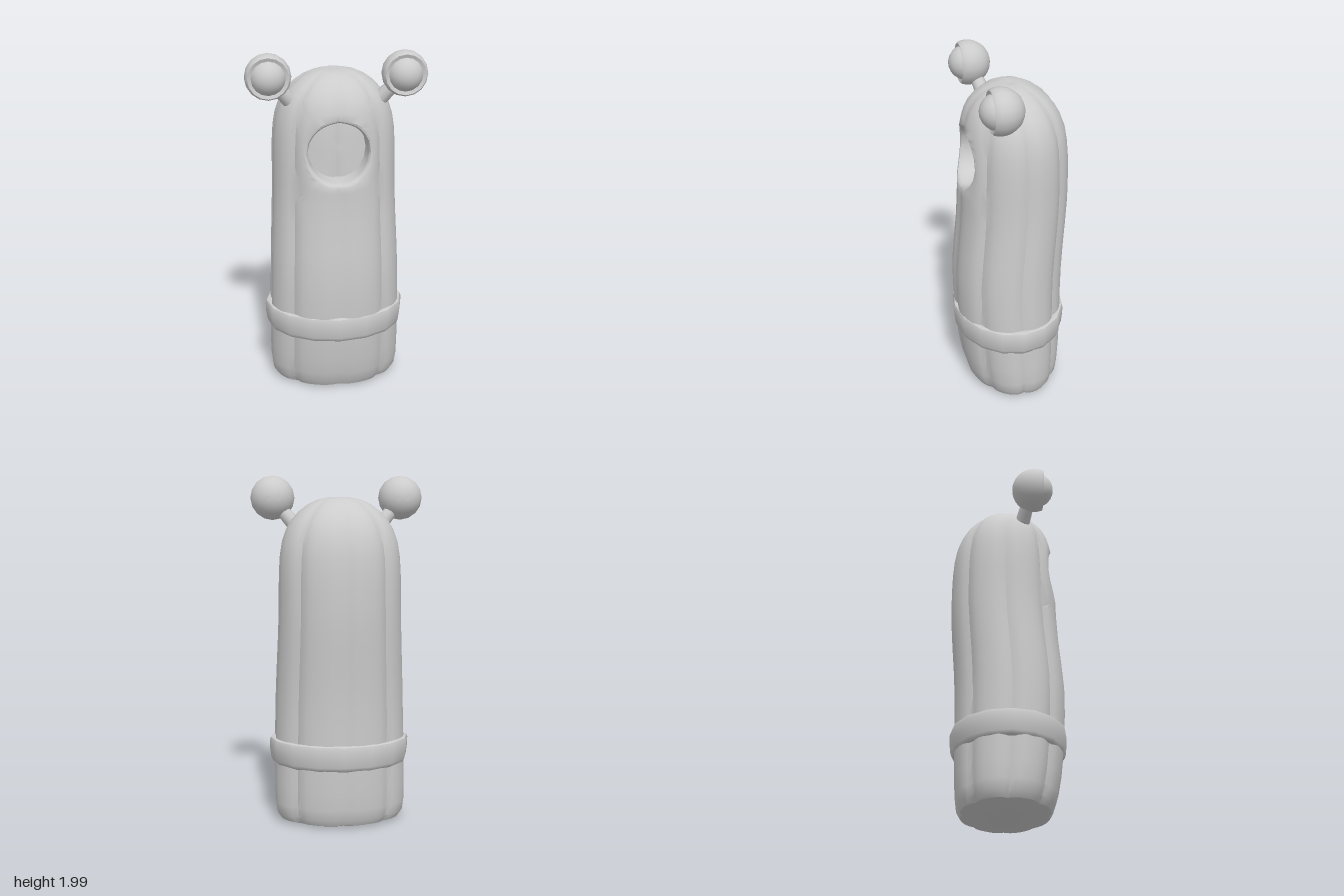
import * as THREE from 'three';
import { toCreasedNormals } from 'three/addons/utils/BufferGeometryUtils.js';

const material = new THREE.MeshStandardMaterial({ color: 0xcccccc });

// Body profile: height, half width, front z, back z
const ROWS = [
  [0.01, 0.3, 0.2, -0.22], [0.025, 0.345, 0.235, -0.26], [0.06, 0.368, 0.255, -0.28],
  [0.12, 0.377, 0.272, -0.288], [0.22, 0.378, 0.29, -0.295], [0.4, 0.378, 0.31, -0.3],
  [0.6, 0.372, 0.318, -0.3], [0.75, 0.368, 0.318, -0.303], [0.9, 0.362, 0.305, -0.311],
  [1.05, 0.355, 0.29, -0.322], [1.18, 0.35, 0.282, -0.33], [1.28, 0.348, 0.279, -0.332],
  [1.37, 0.347, 0.276, -0.331], [1.46, 0.345, 0.272, -0.328], [1.55, 0.339, 0.267, -0.32],
  [1.63, 0.326, 0.257, -0.306], [1.7, 0.302, 0.242, -0.28], [1.75, 0.273, 0.22, -0.252],
  [1.8, 0.228, 0.184, -0.21], [1.84, 0.175, 0.135, -0.158], [1.865, 0.12, 0.085, -0.112],
  [1.878, 0.06, 0.036, -0.066], [1.875, 0.015, 0.0, -0.026],
];
const SEGMENTS = 64;
const HOLE = { y: 1.46, firstRow: 10, lastRow: 17, halfColumns: 8 };

function profile(y) {
  let i = 0;
  while (i < ROWS.length - 3 && ROWS[i + 1][0] < y) i++;
  const t = (y - ROWS[i][0]) / (ROWS[i + 1][0] - ROWS[i][0]);
  return ROWS[i].map((v, k) => THREE.MathUtils.lerp(v, ROWS[i + 1][k], t));
}

// Point on the eight-lobed skin; angle 0 faces the front
function skin(angle, [y, halfWidth, front, back]) {
  const lobe = 1.02 - 0.06 * (1 - Math.abs(Math.sin(4 * angle))) ** 2;
  const z = (front + back) / 2 + ((front - back) / 2) * lobe * Math.cos(angle);
  return new THREE.Vector3(halfWidth * lobe * Math.sin(angle), y, z);
}

// Angle at which the front skin has the given x
function angleAt(x, y) {
  const row = profile(y);
  let low = -Math.PI / 4, high = Math.PI / 4;
  for (let i = 0; i < 24; i++) {
    const mid = (low + high) / 2;
    if (skin(mid, row).x < x) low = mid; else high = mid;
  }
  return (low + high) / 2;
}

function bodyGeometry() {
  const positions = [];
  const triangle = (...points) => points.forEach((p) => positions.push(p.x, p.y, p.z));
  const bridge = (a, b) => {
    for (let k = 0; k < a.length; k++) {
      const n = (k + 1) % a.length;
      triangle(a[k], a[n], b[n]);
      triangle(a[k], b[n], b[k]);
    }
  };
  const angleOf = (column) => (column / SEGMENTS) * Math.PI * 2;
  const half = HOLE.halfColumns;

  // Lobed skin, leaving a window for the face opening
  for (let r = 0; r < ROWS.length - 1; r++) {
    for (let c = -half; c < SEGMENTS - half; c++) {
      if (c < half && r >= HOLE.firstRow && r < HOLE.lastRow) continue;
      const a = skin(angleOf(c), ROWS[r]), b = skin(angleOf(c + 1), ROWS[r]);
      const d = skin(angleOf(c), ROWS[r + 1]), e = skin(angleOf(c + 1), ROWS[r + 1]);
      triangle(a, b, e);
      triangle(a, e, d);
    }
  }

  // Crown and base caps
  const crown = new THREE.Vector3(0, 1.872, -0.013);
  const base = new THREE.Vector3(0, 0.015, -0.01);
  for (let c = 0; c < SEGMENTS; c++) {
    const top = ROWS[ROWS.length - 1];
    triangle(skin(angleOf(c), top), skin(angleOf(c + 1), top), crown);
    triangle(skin(angleOf(c + 1), ROWS[0]), skin(angleOf(c), ROWS[0]), base);
  }

  // Window border, counter-clockwise, as [angle, y]
  const border = [];
  const corner = (c, r) => border.push([angleOf(c), ROWS[r][0]]);
  for (let c = -half; c < half; c++) corner(c, HOLE.firstRow);
  for (let r = HOLE.firstRow; r < HOLE.lastRow; r++) corner(half, r);
  for (let c = half; c > -half; c--) corner(c, HOLE.lastRow);
  for (let r = HOLE.lastRow; r > HOLE.firstRow; r--) corner(-half, r);

  // Circle on the skin, sunk straight back by depth
  const circle = (radius) => border.map(([angle, y]) => {
    const p = skin(angle, profile(y));
    const turn = Math.atan2(p.y - HOLE.y, p.x);
    const cy = HOLE.y + radius * Math.sin(turn);
    return [angleAt(radius * Math.cos(turn), cy), cy];
  });
  const place = (ring, depth = 0) => ring.map(([angle, y]) => {
    const p = skin(angle, profile(y));
    p.z -= depth;
    return p;
  });
  const rim = circle(0.19);
  const rings = [1, 0.66, 0.33].map((t) => place(border.map(([angle, y], k) => [
    THREE.MathUtils.lerp(rim[k][0], angle, t), THREE.MathUtils.lerp(rim[k][1], y, t),
  ])));

  // Rounded rim, wall and back of the opening: radius, depth
  for (const [radius, depth] of [[0.19, 0], [0.179, 0.006], [0.171, 0.02], [0.168, 0.04],
    [0.165, 0.13], [0.11, 0.13], [0.055, 0.13], [0.001, 0.13]]) {
    rings.push(place(circle(radius), depth));
  }
  for (let i = 0; i < rings.length - 1; i++) bridge(rings[i], rings[i + 1]);

  const geometry = new THREE.BufferGeometry();
  geometry.setAttribute('position', new THREE.Float32BufferAttribute(positions, 3));
  return toCreasedNormals(geometry, 0.62);
}

function lathe(points, segments) {
  return new THREE.LatheGeometry(points.map(([x, y]) => new THREE.Vector2(x, y)), segments);
}

function addMesh(parent, name, geometry) {
  const mesh = new THREE.Mesh(geometry, material);
  mesh.name = name;
  parent.add(mesh);
  return mesh;
}

function eyeStalk(side) {
  const group = new THREE.Group();
  group.name = side > 0 ? 'leftEye' : 'rightEye';

  // Stalk between head and eye
  const from = new THREE.Vector3(side * 0.215, 1.68, 0.06);
  const to = new THREE.Vector3(side * 0.345, 1.835, 0.11);
  const along = to.clone().sub(from);
  const stalk = addMesh(group, 'stalk', new THREE.CylinderGeometry(0.036, 0.046, along.length(), 10));
  stalk.position.copy(from).add(to).multiplyScalar(0.5);
  stalk.quaternion.setFromUnitVectors(new THREE.Vector3(0, 1, 0), along.normalize());

  // Round socket, open to the front with a narrow lip
  const outline = [];
  for (let i = 0; i <= 10; i++) {
    const a = -Math.PI / 2 + (i / 10) * (Math.PI / 2 + 0.36);
    outline.push([Math.max(0, 0.127 * Math.cos(a)), 0.127 * Math.sin(a)]);
  }
  outline.push([0.112, 0.051], [0.09, 0.043]);
  const socket = addMesh(group, 'socket', toCreasedNormals(lathe(outline, 16), 0.7));
  socket.rotation.x = Math.PI / 2;
  socket.position.set(side * 0.372, 1.873, 0.136);

  // Eyeball
  const ball = addMesh(group, 'eyeball', new THREE.SphereGeometry(0.1, 16, 12));
  ball.rotation.x = Math.PI / 2;
  ball.position.set(side * 0.372, 1.873, 0.146);
  return group;
}

export function createModel() {
  const model = new THREE.Group();
  model.name = 'lobedFigure';
  addMesh(model, 'body', bodyGeometry());

  // Belt around the lower body
  const belt = addMesh(model, 'belt', toCreasedNormals(lathe([
    [0.34, 0.36], [0.375, 0.349], [0.39, 0.356], [0.398, 0.375], [0.405, 0.425],
    [0.407, 0.475], [0.4, 0.494], [0.385, 0.5], [0.34, 0.49],
  ], 16), 0.8));
  belt.scale.z = 0.805;
  belt.position.z = 0.003;

  for (const side of [1, -1]) model.add(eyeStalk(side));
  return model;
}
